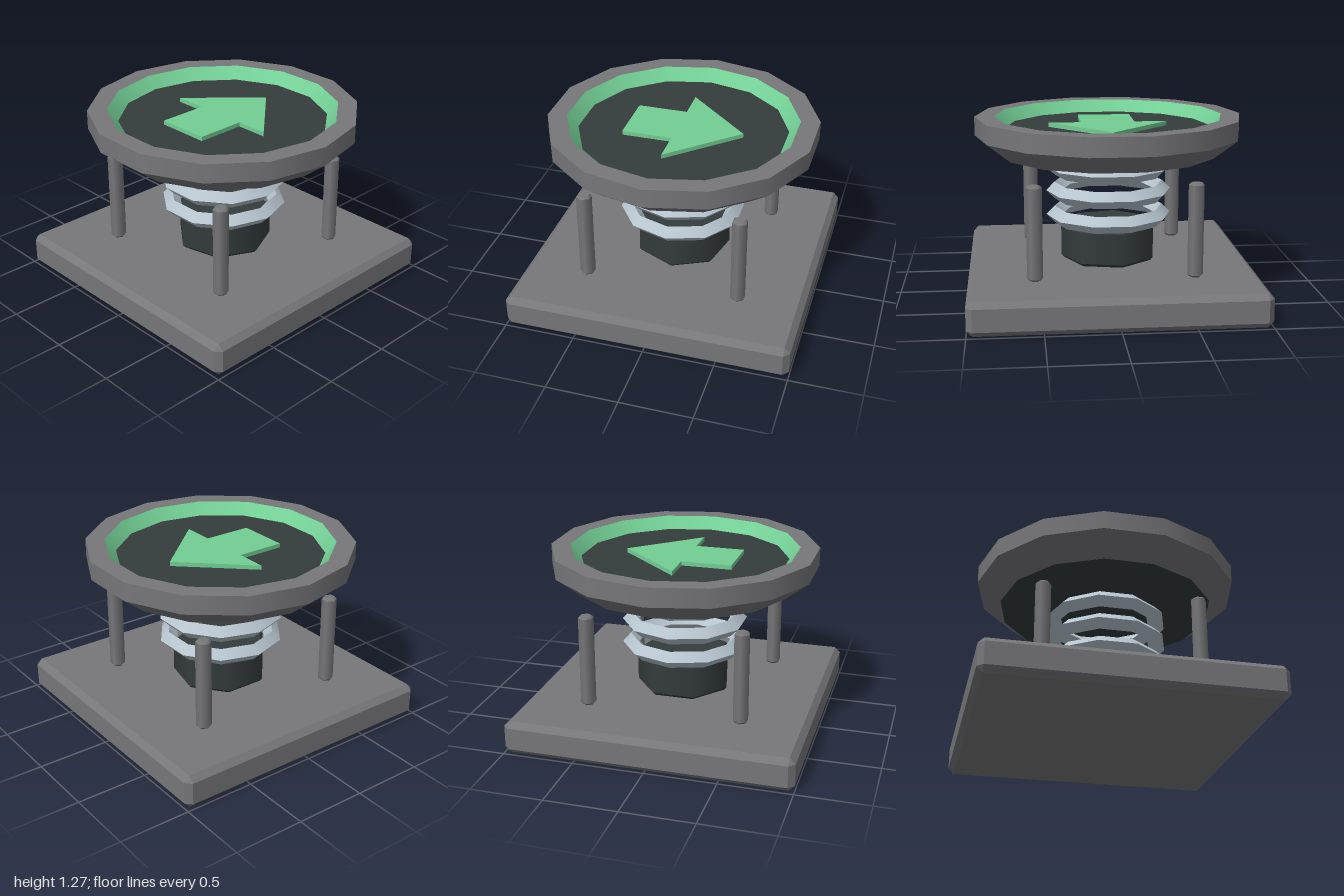
import * as THREE from 'three';
import { mergeGeometries } from 'three/addons/utils/BufferGeometryUtils.js';
import { ConvexGeometry } from 'three/addons/geometries/ConvexGeometry.js';

const material = (name, color) => {
  const m = new THREE.MeshStandardMaterial({ color });
  m.name = name;
  return m;
};

// Turned part: smooth around the axis, crisp between profile points [radius, y].
// Profiles run bottom to top on the outside.
function turned(profile, sides) {
  const bands = [];
  for (let i = 0; i < profile.length - 1; i++) {
    const pts = [profile[i], profile[i + 1]].map(([r, y]) => new THREE.Vector2(r, y));
    bands.push(new THREE.LatheGeometry(pts, sides, Math.PI / 2));
  }
  return mergeGeometries(bands);
}

// Closed cylinder with chamfered rims
const chamferedCylinder = (r, y0, y1, c, sides) => turned([
  [0, y0], [r - c, y0], [r, y0 + c], [r, y1 - c], [r - c, y1], [0, y1],
], sides);

// Box with all twelve edges chamfered, standing on y = 0
function chamferedBox(w, h, d, c) {
  const pts = [];
  for (const sx of [-1, 1]) for (const sy of [-1, 1]) for (const sz of [-1, 1]) {
    for (let axis = 0; axis < 3; axis++) {
      const [x, y, z] = [w / 2, h / 2, d / 2].map((v, i) => (i === axis ? v : v - c));
      pts.push(new THREE.Vector3(sx * x, h / 2 + sy * y, sz * z));
    }
  }
  return new ConvexGeometry(pts);
}

export function createModel() {
  const grey = material('grey metal', 0x77777a);
  const dark = material('dark rubber', 0x353c3c);
  const green = material('green', 0x73cf95);
  const steel = material('pale steel', 0xb6c4ce);

  const model = new THREE.Group();
  model.name = 'springPad';
  const add = (name, geometry, mat, parent = model) => {
    const mesh = new THREE.Mesh(geometry, mat);
    mesh.name = name;
    parent.add(mesh);
    return mesh;
  };

  // Base plate and central hub
  add('base', chamferedBox(2, 0.235, 2, 0.04), grey);
  add('hub', chamferedCylinder(0.34, 0.235, 0.5, 0.022, 7), dark);

  // Corner guide posts
  const posts = new THREE.Group();
  posts.name = 'posts';
  model.add(posts);
  const postGeometry = chamferedCylinder(0.054, 0.235, 0.888, 0.014, 6);
  for (const x of [-0.545, 0.545]) for (const z of [-0.545, 0.545]) {
    add('post', postGeometry, grey, posts).position.set(x, 0, z);
  }

  // Floating spring rings with a diamond section
  const spring = new THREE.Group();
  spring.name = 'spring';
  model.add(spring);
  const ringGeometry = turned([
    [0.325, 0], [0.385, -0.06], [0.445, 0], [0.385, 0.06], [0.325, 0],
  ], 10);
  for (const y of [0.56, 0.735, 0.908]) {
    add('springRing', ringGeometry, steel, spring).position.y = y;
  }

  // Dish: grey shell, dark underside and floor, green inner wall
  const dish = new THREE.Group();
  dish.name = 'dish';
  model.add(dish);
  add('dishShell', turned([[0.77, 1.005], [0.94, 1.138], [0.94, 1.27], [0.805, 1.27]], 14), grey, dish);
  add('dishUnderside', turned([[0, 1.005], [0.77, 1.005]], 14), dark, dish);
  add('dishInnerWall', turned([[0.805, 1.27], [0.73, 1.185]], 14), green, dish);
  add('dishFloor', turned([[0.73, 1.185], [0, 1.185]], 14), dark, dish);

  // Raised arrow pointing to the back
  const arrow = new THREE.Shape([
    [0, 0.425], [-0.42, -0.03], [-0.19, -0.03], [-0.19, -0.38],
    [0.19, -0.38], [0.19, -0.03], [0.42, -0.03],
  ].map(([x, y]) => new THREE.Vector2(x, y)));
  const arrowGeometry = new THREE.ExtrudeGeometry(arrow, { depth: 0.03, bevelEnabled: false });
  arrowGeometry.rotateX(-Math.PI / 2);
  add('arrow', arrowGeometry, green, dish).position.y = 1.185;

  return model;
}
